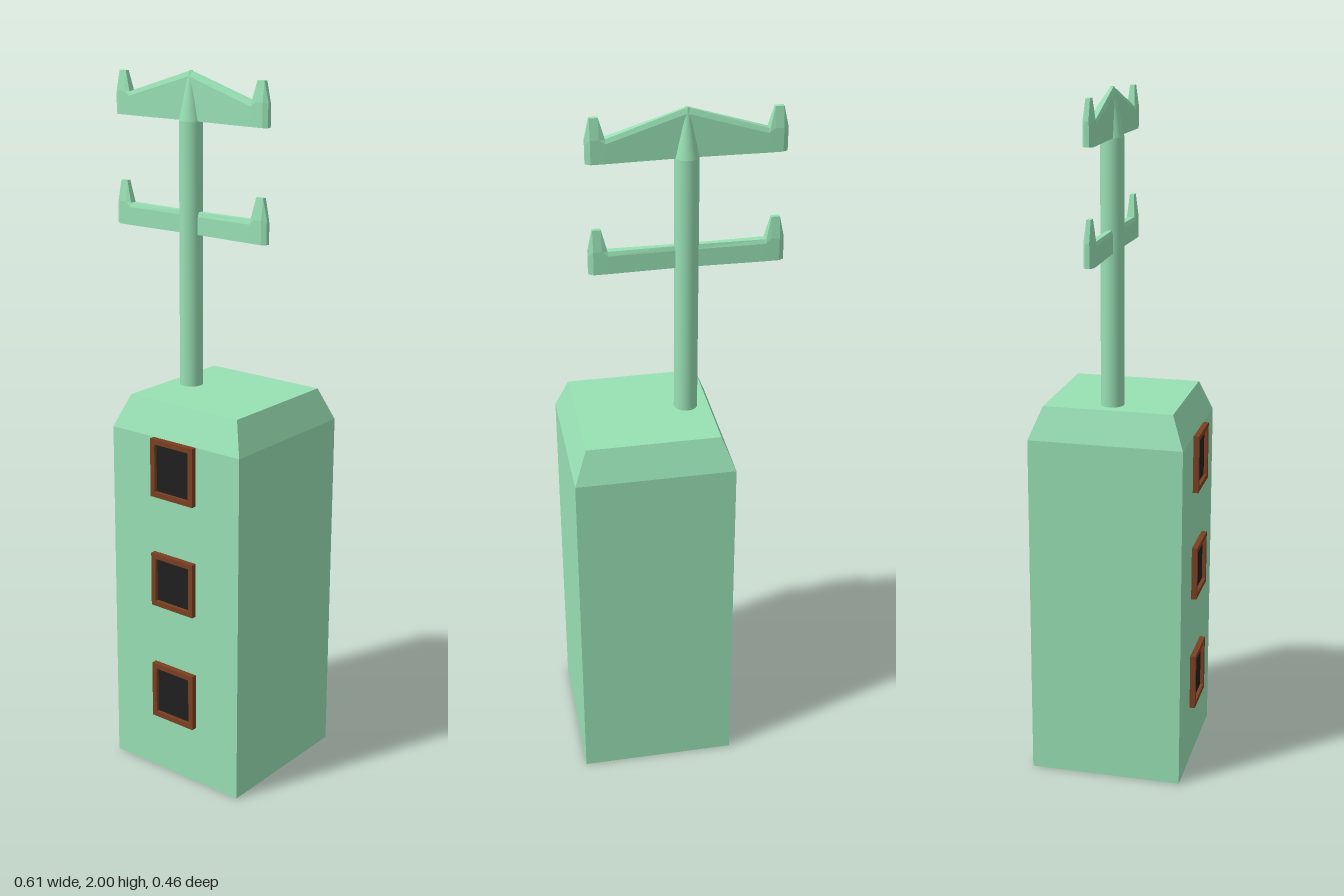
import * as THREE from 'three';

const green = new THREE.MeshStandardMaterial({ color: 0x98e0b4 });
const brown = new THREE.MeshStandardMaterial({ color: 0x7a4022 });
const black = new THREE.MeshStandardMaterial({ color: 0x1f1f1f });

function add(parent, name, geometry, material, x = 0, y = 0, z = 0) {
  const mesh = new THREE.Mesh(geometry, material);
  mesh.name = name;
  mesh.position.set(x, y, z);
  parent.add(mesh);
  return mesh;
}

function faceted(geometry) {
  const g = geometry.toNonIndexed();
  g.computeVertexNormals();
  return g;
}

// Crossarm lofted along x from six-sided sections: [x, shoulder y, top y, half width, top half width]
function crossarm(bottom, half) {
  const mirrored = half.slice(1).reverse().map(([x, ...rest]) => [-x, ...rest]);
  const rings = [...mirrored, ...half].map(([x, mid, top, w, t]) => [
    [x, bottom, -w], [x, bottom, w], [x, mid, w], [x, top, t], [x, top, -t], [x, mid, -w],
  ]);
  const index = [];
  for (let i = 0; i < rings.length - 1; i++) {
    for (let j = 0; j < 6; j++) {
      const k = (j + 1) % 6;
      const p = i * 6 + j, q = i * 6 + k;
      index.push(p, p + 6, q + 6, p, q + 6, q);
    }
  }
  const last = (rings.length - 1) * 6;
  for (let j = 1; j < 5; j++) {
    index.push(0, j, j + 1, last, last + j + 1, last + j);
  }
  const g = new THREE.BufferGeometry();
  g.setAttribute('position', new THREE.Float32BufferAttribute(rings.flat(2), 3));
  g.setIndex(index);
  return faceted(g);
}

export function createModel() {
  const model = new THREE.Group();
  model.name = 'towerWithMast';

  // Square tower with a bevelled roof
  const wall = 0.224 * Math.SQRT2, roof = 0.1875 * Math.SQRT2;
  const profile = [[0, 0], [wall, 0], [wall, 1.028], [roof, 1.121], [0, 1.121]]
    .map(([r, y]) => new THREE.Vector2(r, y));
  add(model, 'tower', faceted(new THREE.LatheGeometry(profile, 4, Math.PI / 4)), green, 0.082, 0, -0.009);

  // Three framed windows on the front wall
  const w = 0.149, border = 0.015;
  for (const [bottom, top] of [[0.174, 0.343], [0.527, 0.687], [0.858, 1.028]]) {
    const h = top - bottom;
    const windowGroup = new THREE.Group();
    windowGroup.name = 'window';
    windowGroup.position.set(0.0825, (bottom + top) / 2, 0.215);
    for (const s of [-1, 1]) {
      add(windowGroup, 'frameSide', new THREE.BoxGeometry(border, h, 0.016), brown, s * (w - border) / 2, 0, 0.008);
      add(windowGroup, 'frameRail', new THREE.BoxGeometry(w - 2 * border, border, 0.016), brown, 0, s * (h - border) / 2, 0.008);
    }
    add(windowGroup, 'pane', new THREE.BoxGeometry(w - 2 * border, h - 2 * border, 0.006), black, 0, 0, 0.003);
    model.add(windowGroup);
  }

  // Mast with a pointed cap
  const mast = new THREE.Group();
  mast.name = 'mast';
  mast.position.set(-0.041, 0, -0.01);
  model.add(mast);
  add(mast, 'pole', new THREE.CylinderGeometry(0.033, 0.033, 0.747, 32), green, 0, 1.4935, 0);
  add(mast, 'cap', new THREE.CylinderGeometry(0.006, 0.033, 0.133, 32), green, 0, 1.9335, 0);

  // Crossarms with upturned ends; the upper one peaks at the mast
  add(mast, 'upperCrossarm', crossarm(1.867, [
    [0, 1.985, 2.0, 0.009, 0.004],
    [0.213, 1.92, 1.932, 0.014, 0.01],
    [0.229, 1.932, 1.988, 0.014, 0.006],
    [0.252, 1.932, 1.988, 0.014, 0.006],
    [0.265, 1.92, 1.932, 0.006, 0.005],
  ]), green);
  add(mast, 'lowerCrossarm', crossarm(1.557, [
    [0, 1.607, 1.62, 0.009, 0.006],
    [0.213, 1.608, 1.62, 0.014, 0.01],
    [0.229, 1.622, 1.682, 0.014, 0.006],
    [0.252, 1.622, 1.682, 0.014, 0.006],
    [0.265, 1.61, 1.622, 0.006, 0.005],
  ]), green);

  return model;
}
